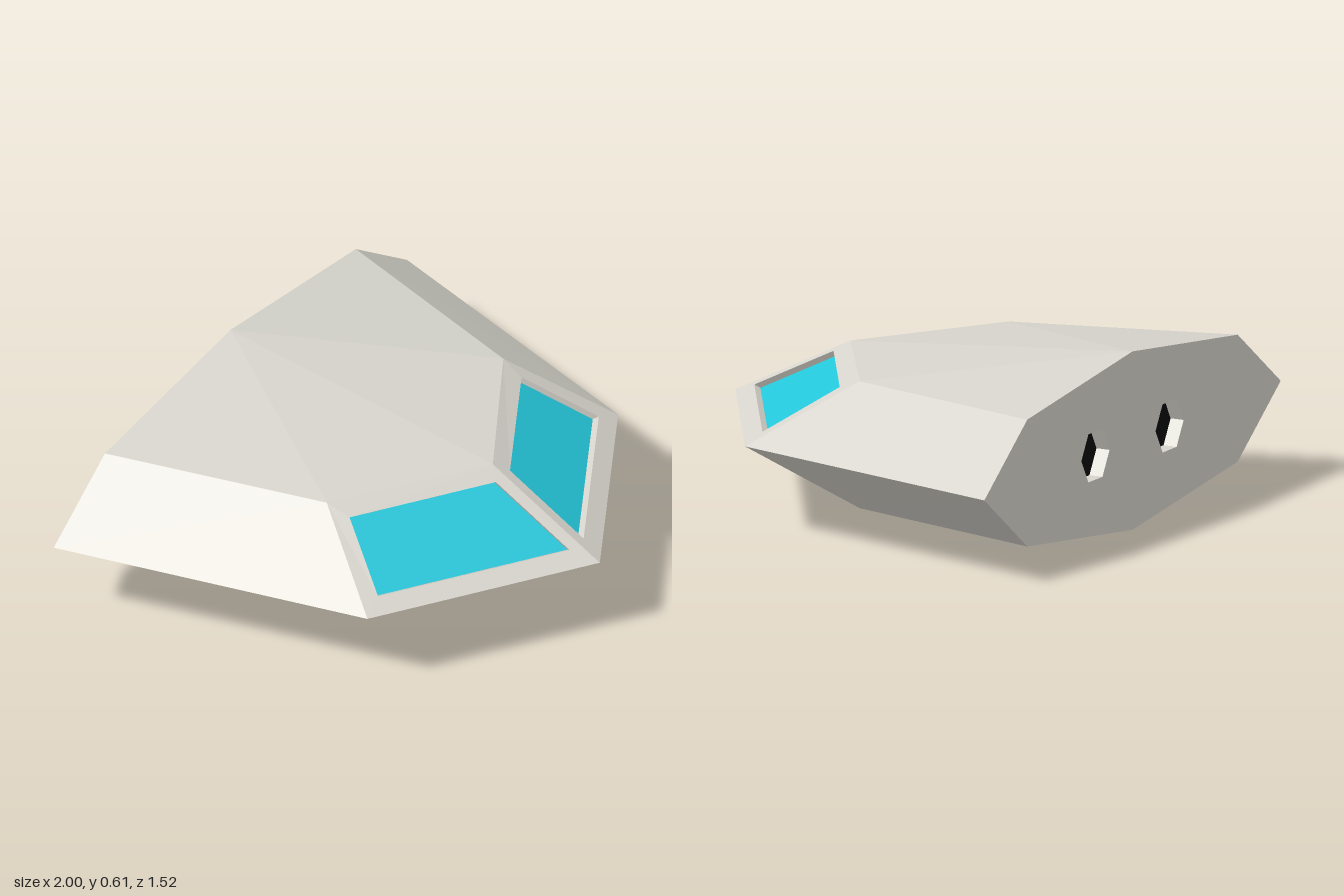
import * as THREE from 'three';

const hullMat = new THREE.MeshStandardMaterial({ name: 'hullGrey', color: 0xd6d4cc });
const glassMat = new THREE.MeshStandardMaterial({ name: 'cyanGlass', color: 0x24c6da });
const darkMat = new THREE.MeshStandardMaterial({ name: 'ventBlack', color: 0x0a0a0a });

const MID = 0.305, BACK = -0.76;

// Flat-shaded mesh from convex polygons, corners counter-clockwise seen from outside
function facets(name, polys, material) {
  const pos = [];
  for (const p of polys)
    for (let i = 1; i < p.length - 1; i++) pos.push(...p[0], ...p[i], ...p[i + 1]);
  const geo = new THREE.BufferGeometry();
  geo.setAttribute('position', new THREE.Float32BufferAttribute(pos, 3));
  geo.computeVertexNormals();
  const mesh = new THREE.Mesh(geo, material);
  mesh.name = name;
  return mesh;
}

// Mirror polygons across x and/or the hull's mid height
function mirror(polys, sx, sy) {
  return polys.map((p) => {
    const q = p.map(([x, y, z]) => [x * sx, MID + (y - MID) * sy, z]);
    return sx * sy < 0 ? q.reverse() : q;
  });
}

// Band of quads between two matching loops
const band = (a, b) => a.map((p, i) => {
  const j = (i + 1) % a.length;
  return [p, a[j], b[j], b[i]];
});

const shift = (loop, [dx, dy, dz]) => loop.map(([x, y, z]) => [x + dx, y + dy, z + dz]);

// Regular hexagon outline of a rear vent
const hexagon = (cx, r) => Array.from({ length: 6 }, (_, i) => {
  const a = (i * Math.PI) / 3;
  return [cx + r * Math.cos(a), MID + r * Math.sin(a)];
});

export function createModel() {
  const group = new THREE.Group();
  group.name = 'shuttle';

  // Hull corners of the upper left quarter
  const nose = [0, MID, 0.76], side = [0.71, MID, 0.32], tail = [1, MID, BACK];
  const shoulder = [0.5, 0.522, 0], brow = [0, 0.522, 0.32];
  const backShoulder = [0.71, 0.522, BACK], backTop = [0, 0.61, BACK];

  const body = [
    [side, tail, backShoulder, shoulder],
    [brow, shoulder, backTop],
    [shoulder, backShoulder, backTop],
  ];
  const front = [nose, side, shoulder, brow];

  // Window opening lies in the sloping front panel
  const opening = [[0.04, 0.34], [0.625, 0.34], [0.487, 0.49], [0.04, 0.49]]
    .map(([x, y]) => [x, y, 0.76 - 0.62 * x - 2.02 * (y - MID)]);
  const recessed = shift(opening, [-0.011, -0.012, -0.017]);

  for (const s of [1, -1]) {
    const label = s > 0 ? 'left' : 'right';
    group.add(facets(label + 'UpperHull', mirror(body, s, 1), hullMat));
    group.add(facets(label + 'LowerHull', mirror([...body, front], s, -1), hullMat));
    group.add(facets(label + 'WindowFrame',
      mirror([...band(front, opening), ...band(opening, recessed)], s, 1), hullMat));
    group.add(facets(label + 'Window', mirror([recessed], s, 1), glassMat));
  }

  // Rear wall with two hexagonal openings
  const outline = [[1, MID], [0.71, 0.522], [0, 0.61], [-0.71, 0.522],
    [-1, MID], [-0.71, 0.088], [0, 0]];
  outline.push([0.71, 0.088]);
  const toVectors = (pts) => pts.map(([x, y]) => new THREE.Vector2(x, y));
  const wall = new THREE.Shape(toVectors(outline));
  for (const x of [0.25, -0.25]) wall.holes.push(new THREE.Path(toVectors(hexagon(x, 0.095))));
  const rear = new THREE.Mesh(new THREE.ShapeGeometry(wall).rotateY(Math.PI), hullMat);
  rear.position.z = BACK;
  rear.name = 'rearWall';
  group.add(rear);

  // Recessed vents: hull-coloured sides and a dark floor
  for (const x of [0.25, -0.25]) {
    const rim = hexagon(x, 0.095).reverse().map(([px, py]) => [px, py, BACK]);
    const floor = shift(rim, [0, 0, 0.05]);
    const label = x > 0 ? 'left' : 'right';
    group.add(facets(label + 'VentSides', band(rim, floor), hullMat));
    group.add(facets(label + 'VentFloor', [floor], darkMat));
  }
  return group;
}
